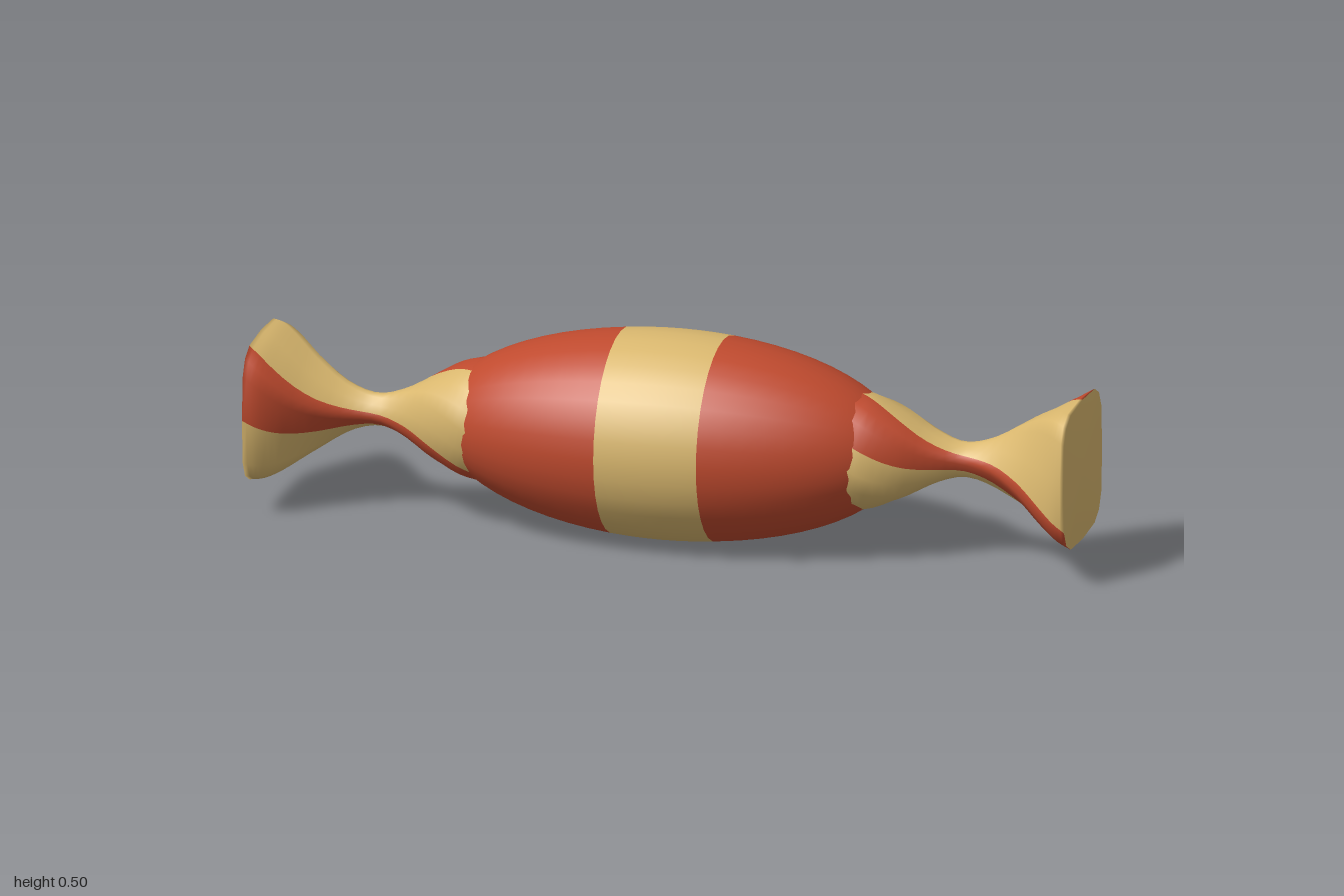
import * as THREE from 'three';

const CREAM = new THREE.MeshStandardMaterial({ color: 0xd9b76e });
const RED = new THREE.MeshStandardMaterial({ color: 0xbf4a2e });
const RADIUS = 0.25, HALF_LENGTH = 0.57, STRIPE = 0.125;

// One band of the ellipsoid body between two x positions
function bodyBand(name, x0, x1, rows, material) {
  const start = Math.acos(x1 / HALF_LENGTH), end = Math.acos(x0 / HALF_LENGTH);
  const geo = new THREE.SphereGeometry(1, 32, rows, 0, Math.PI * 2, start, end - start);
  geo.scale(RADIUS, HALF_LENGTH, RADIUS).rotateZ(-Math.PI / 2);
  const mesh = new THREE.Mesh(geo, material);
  mesh.name = name;
  return mesh;
}

// Twisted wrapper end pointing to +x: round at the body, pinched, then flaring to a rounded square
function wrapperEnd(name, redStart) {
  const SIDES = 16, ROWS = 28, TWIST = THREE.MathUtils.degToRad(115);
  const profile = new THREE.CatmullRomCurve3([
    [0.45, 0.143], [0.5, 0.132], [0.57, 0.1], [0.64, 0.06], [0.71, 0.037], [0.78, 0.05],
    [0.86, 0.092], [0.93, 0.14], [0.97, 0.163], [1, 0.172],
  ].map(([x, r]) => new THREE.Vector3(x, r, 0)));
  const power = (v, p) => Math.sign(v) * Math.abs(v) ** p;

  const positions = [];
  for (let i = 0; i <= ROWS; i++) {
    const { x, y: size } = profile.getPoint(i / ROWS);
    const t = (x - 0.45) / 0.55;
    const p = THREE.MathUtils.lerp(0.9, 0.5, Math.min(1, t * 1.4));
    const turn = (t - 1) * TWIST;
    for (let j = 0; j < SIDES; j++) {
      const a = (j / SIDES) * Math.PI * 2;
      const y = size * power(Math.cos(a), p), z = size * power(Math.sin(a), p);
      positions.push(x,
        y * Math.cos(turn) - z * Math.sin(turn),
        y * Math.sin(turn) + z * Math.cos(turn));
    }
  }
  const centre = positions.length / 3;
  positions.push(1, 0, 0);

  // Two opposite red stripes, three sides wide; everything else and the end cap is cream
  const cream = [], red = [];
  for (let j = 0; j < SIDES; j++) {
    const k = (j + 1) % SIDES;
    const list = (j - redStart + SIDES) % 8 < 3 ? red : cream;
    for (let i = 0; i < ROWS; i++) {
      const a = i * SIDES, b = a + SIDES;
      list.push(a + j, a + k, b + j, a + k, b + k, b + j);
    }
    cream.push(centre, ROWS * SIDES + j, ROWS * SIDES + k);
  }
  const geo = new THREE.BufferGeometry();
  geo.setAttribute('position', new THREE.Float32BufferAttribute(positions, 3));
  geo.setIndex([...cream, ...red]);
  geo.addGroup(0, cream.length, 0);
  geo.addGroup(cream.length, red.length, 1);
  geo.computeVertexNormals();
  const mesh = new THREE.Mesh(geo, [CREAM, RED]);
  mesh.name = name;
  return mesh;
}

export function createModel() {
  const candy = new THREE.Group();
  candy.name = 'wrappedCandy';

  // Striped body
  candy.add(
    bodyBand('bodyCentreStripe', -STRIPE, STRIPE, 6, CREAM),
    bodyBand('bodyLeft', STRIPE, HALF_LENGTH, 14, RED),
    bodyBand('bodyRight', -HALF_LENGTH, -STRIPE, 14, RED),
  );

  // Twisted ends
  const left = wrapperEnd('wrapperEndLeft', 5);
  const right = wrapperEnd('wrapperEndRight', 4);
  right.rotation.y = Math.PI;
  candy.add(left, right);

  for (const part of candy.children) part.position.y = RADIUS;
  return candy;
}
